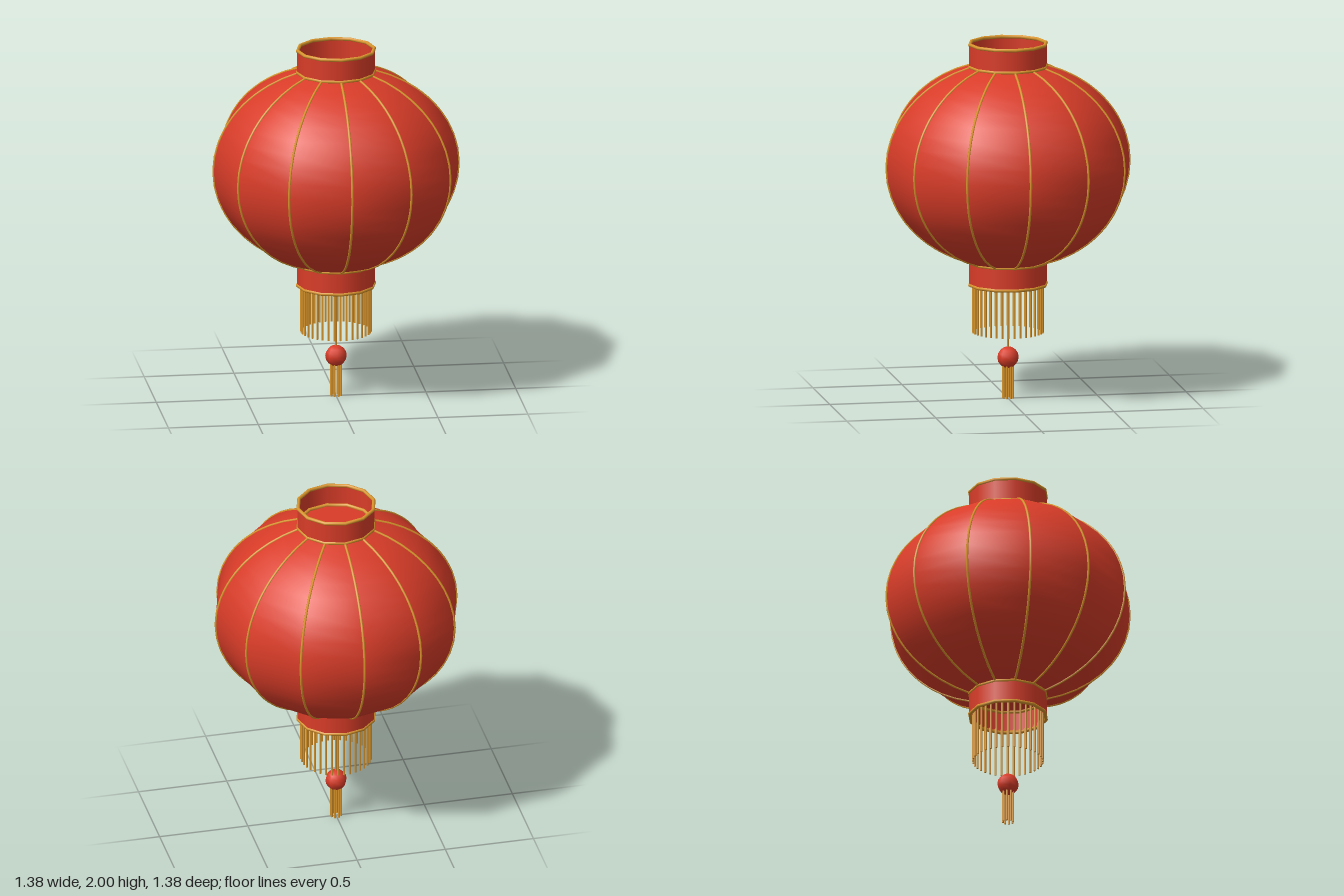
import * as THREE from 'three';

const SIDES = 12;
const red = new THREE.MeshStandardMaterial({ color: 0xd93c28 });
const redOpen = new THREE.MeshStandardMaterial({ color: 0xd93c28, side: THREE.DoubleSide });
const gold = new THREE.MeshStandardMaterial({ color: 0xd9952b });

function add(parent, name, geometry, material, x = 0, y = 0, z = 0) {
  const mesh = new THREE.Mesh(geometry, material);
  mesh.name = name;
  mesh.position.set(x, y, z);
  parent.add(mesh);
  return mesh;
}

// Ellipse arc from the lower collar to the upper collar
function bodyProfile(radius, height, midY, endY, steps) {
  const a = Math.asin(endY / height);
  return Array.from({ length: steps + 1 }, (_, i) => {
    const t = -a + (2 * a * i) / steps;
    return new THREE.Vector2(radius * Math.cos(t), midY + height * Math.sin(t));
  });
}

// Ring of thin hanging strands between two heights
function strands(parent, name, count, ringRadius, thickness, top, bottom, offset) {
  const group = new THREE.Group();
  group.name = name;
  const geometry = new THREE.CylinderGeometry(thickness, thickness, top - bottom, 6);
  for (let i = 0; i < count; i++) {
    const a = ((i + offset) / count) * Math.PI * 2;
    add(group, 'strand', geometry, gold,
      ringRadius * Math.sin(a), (top + bottom) / 2, ringRadius * Math.cos(a));
  }
  parent.add(group);
}

// Open collar with a gold ring at each end
function collar(parent, name, bottom, top) {
  const group = new THREE.Group();
  group.name = name;
  add(group, 'collarWall', new THREE.CylinderGeometry(0.218, 0.218, top - bottom - 0.01, SIDES, 1, true),
    redOpen, 0, (top + bottom) / 2, 0);
  const ring = new THREE.TorusGeometry(0.214, 0.01, 8, SIDES);
  for (const y of [bottom + 0.01, top - 0.01]) {
    add(group, 'collarRing', ring, gold, 0, y, 0).rotation.x = Math.PI / 2;
  }
  parent.add(group);
}

export function createModel() {
  const lantern = new THREE.Group();
  lantern.name = 'lantern';

  // Twelve-sided body with flat ends
  const profile = bodyProfile(0.682, 0.575, 1.315, 0.545, 18);
  add(lantern, 'body', new THREE.LatheGeometry(profile, SIDES), redOpen);
  const endRadius = profile[0].x;
  const disc = new THREE.CircleGeometry(endRadius, SIDES);
  add(lantern, 'bodyTop', disc, red, 0, 1.86, 0).rotation.x = -Math.PI / 2;
  add(lantern, 'bodyBottom', disc, red, 0, 0.77, 0).rotation.x = Math.PI / 2;

  // Gold ribs along the body edges
  const ribs = new THREE.Group();
  ribs.name = 'ribs';
  const ribPath = new THREE.CurvePath();
  for (let i = 1; i < profile.length; i++) {
    const [p, q] = [profile[i - 1], profile[i]];
    ribPath.add(new THREE.LineCurve3(new THREE.Vector3(p.x, p.y, 0), new THREE.Vector3(q.x, q.y, 0)));
  }
  const ribGeometry = new THREE.TubeGeometry(ribPath, 36, 0.007, 6);
  for (let i = 0; i < SIDES; i++) {
    add(ribs, 'rib', ribGeometry, gold).rotation.y = (i / SIDES) * Math.PI * 2;
  }
  lantern.add(ribs);

  // Collars
  collar(lantern, 'topCollar', 1.855, 2.0);
  collar(lantern, 'bottomCollar', 0.632, 0.777);

  // Fringe under the bottom collar
  strands(lantern, 'fringe', 36, 0.193, 0.006, 0.65, 0.37, 0);

  // Cord, bead and tassel
  add(lantern, 'cord', new THREE.CylinderGeometry(0.005, 0.005, 0.5, 6), gold, 0, 0.52, 0);
  add(lantern, 'bead', new THREE.SphereGeometry(0.06, 8, 8), red, 0, 0.23, 0);
  strands(lantern, 'tassel', 8, 0.029, 0.006, 0.19, 0, 0.5);

  return lantern;
}
